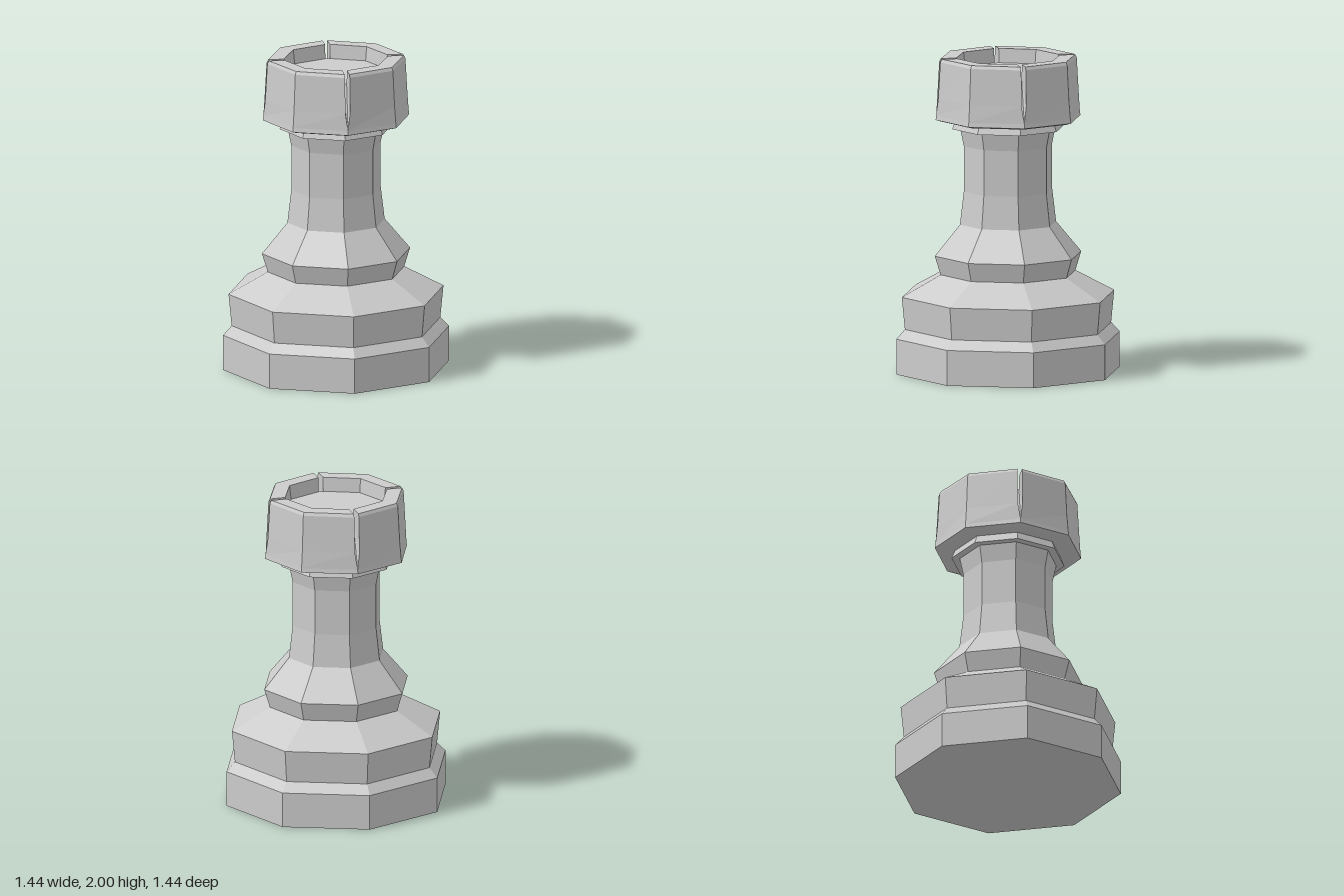
import * as THREE from 'three';

const material = new THREE.MeshStandardMaterial({ color: 0xcccccc, flatShading: true });

// Octagonal turned part with corners on the x and z axes
function turned(name, profile) {
  const points = profile.map(([r, y]) => new THREE.Vector2(r, y));
  const mesh = new THREE.Mesh(new THREE.LatheGeometry(points, 8), material);
  mesh.name = name;
  return mesh;
}

// Crown section from the sunken floor, over the rim, down the outside: radius, height, half slot width
const W = 0.015;
const CROWN = [
  [0, 1.91, 0], [0.32, 1.91, W], [0.33, 2, W], [0.43, 2, W], [0.44, 1.98, W],
  [0.453, 1.75, W], [0.463, 1.64, 0], [0.467, 1.612, 0], [0.435, 1.602, 0], [0.34, 1.602, 0],
];

// One quarter of the crown, between two slots, with the slot on its +z corner
function crownQuarter() {
  const positions = [];
  const tri = (...corners) => corners.forEach((c) => positions.push(...c));
  const s = Math.SQRT1_2;
  const stations = [
    CROWN.map(([r, y, w]) => [w, y, r]),
    CROWN.map(([r, y]) => [r * s, y, r * s]),
    CROWN.map(([r, y, w]) => [r, y, w]),
  ];

  // Floor, rim, outer wall and underside
  for (let k = 0; k < 2; k++) {
    const a = stations[k], b = stations[k + 1];
    for (let i = 0; i < CROWN.length - 1; i++) {
      if (i > 0) tri(a[i], a[i + 1], b[i]);
      tri(a[i + 1], b[i + 1], b[i]);
    }
  }

  // Slot side walls at both ends
  const [first, , last] = stations;
  for (let i = 2; i < 6; i++) {
    tri(first[1], first[i + 1], first[i]);
    tri(last[1], last[i], last[i + 1]);
  }

  // Sloping slot bottom
  const right = first[1], left = [-W, right[1], right[2]];
  tri(first[0], left, right);
  tri(left, first[6], right);

  const geometry = new THREE.BufferGeometry();
  geometry.setAttribute('position', new THREE.Float32BufferAttribute(positions, 3));
  geometry.computeVertexNormals();
  return geometry;
}

export function createModel() {
  const model = new THREE.Group();
  model.name = 'chessRook';

  model.add(
    turned('base', [[0, 0], [0.72, 0], [0.72, 0.225], [0.665, 0.285], [0.685, 0.49], [0.435, 0.625]]),
    turned('lowerCollar', [[0.435, 0.625], [0.472, 0.745], [0.31, 0.94]]),
    turned('neck', [[0.31, 0.94], [0.285, 1.15], [0.285, 1.44], [0.308, 1.55]]),
    turned('upperCollar', [[0.308, 1.55], [0.36, 1.55], [0.34, 1.602]]),
  );

  // Slotted crown
  const crown = new THREE.Group();
  crown.name = 'crown';
  const quarter = crownQuarter();
  for (let i = 0; i < 4; i++) {
    const mesh = new THREE.Mesh(quarter, material);
    mesh.name = 'crownQuarter' + (i + 1);
    mesh.rotation.y = (i * Math.PI) / 2;
    crown.add(mesh);
  }
  model.add(crown);
  return model;
}
